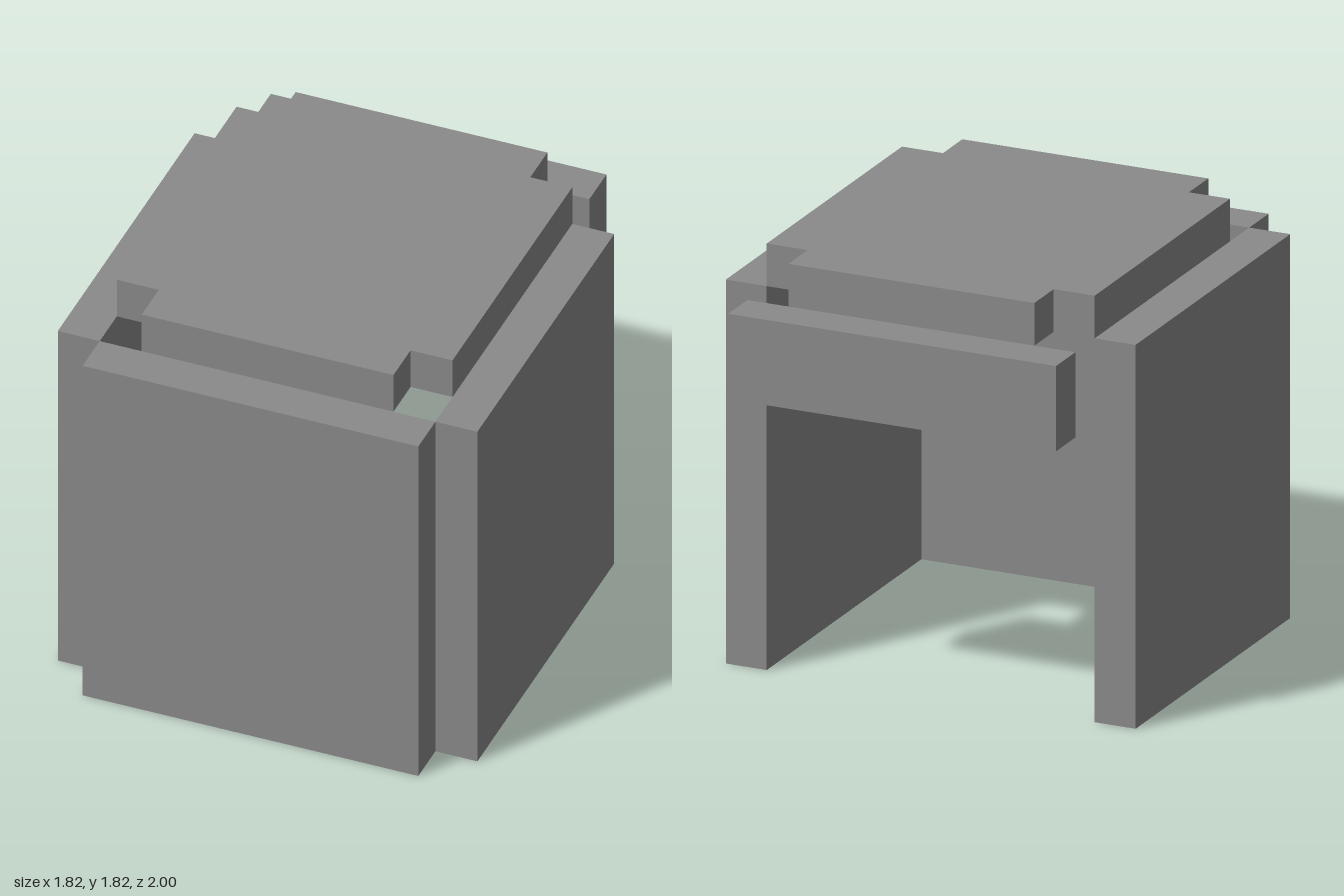
import * as THREE from 'three';

// Everything sits on a grid of this unit
const U = 2 / 11;

export function createModel() {
  const model = new THREE.Group();
  const grey = new THREE.MeshStandardMaterial({ color: 0x8b8b8b });
  grey.name = 'grey';

  const add = (name, geometry) => {
    const mesh = new THREE.Mesh(geometry, grey);
    mesh.name = name;
    model.add(mesh);
    return mesh;
  };
  // Box from its min and max corners, in grid units
  const slab = (name, [x0, y0, z0], [x1, y1, z1]) =>
    add(name, new THREE.BoxGeometry((x1 - x0) * U, (y1 - y0) * U, (z1 - z0) * U))
      .position.set((x0 + x1) / 2 * U, (y0 + y1) / 2 * U, (z0 + z1) / 2 * U);

  // Upright panels
  slab('frontPanel', [-4, 0, 4.5], [4, 9, 5.5]);
  slab('leftPanel', [4, 0, -3.5], [5, 9, 4.5]);
  slab('rightPanel', [-5, 0, -3.5], [-4, 9, 4.5]);

  // Short rail across the open back
  slab('backRail', [-4, 7, -5.5], [4, 9, -4.5]);

  // Top plate with a square notch at each corner
  const outline = [
    [3, -4.5], [3, -3.5], [4, -3.5], [4, 3.5], [3, 3.5], [3, 4.5],
    [-3, 4.5], [-3, 3.5], [-4, 3.5], [-4, -3.5], [-3, -3.5], [-3, -4.5],
  ].map(([x, z]) => new THREE.Vector2(x * U, z * U));
  const plate = new THREE.ExtrudeGeometry(new THREE.Shape(outline), { depth: U, bevelEnabled: false });
  plate.rotateX(-Math.PI / 2);
  add('topPlate', plate).position.y = 9 * U;

  return model;
}
